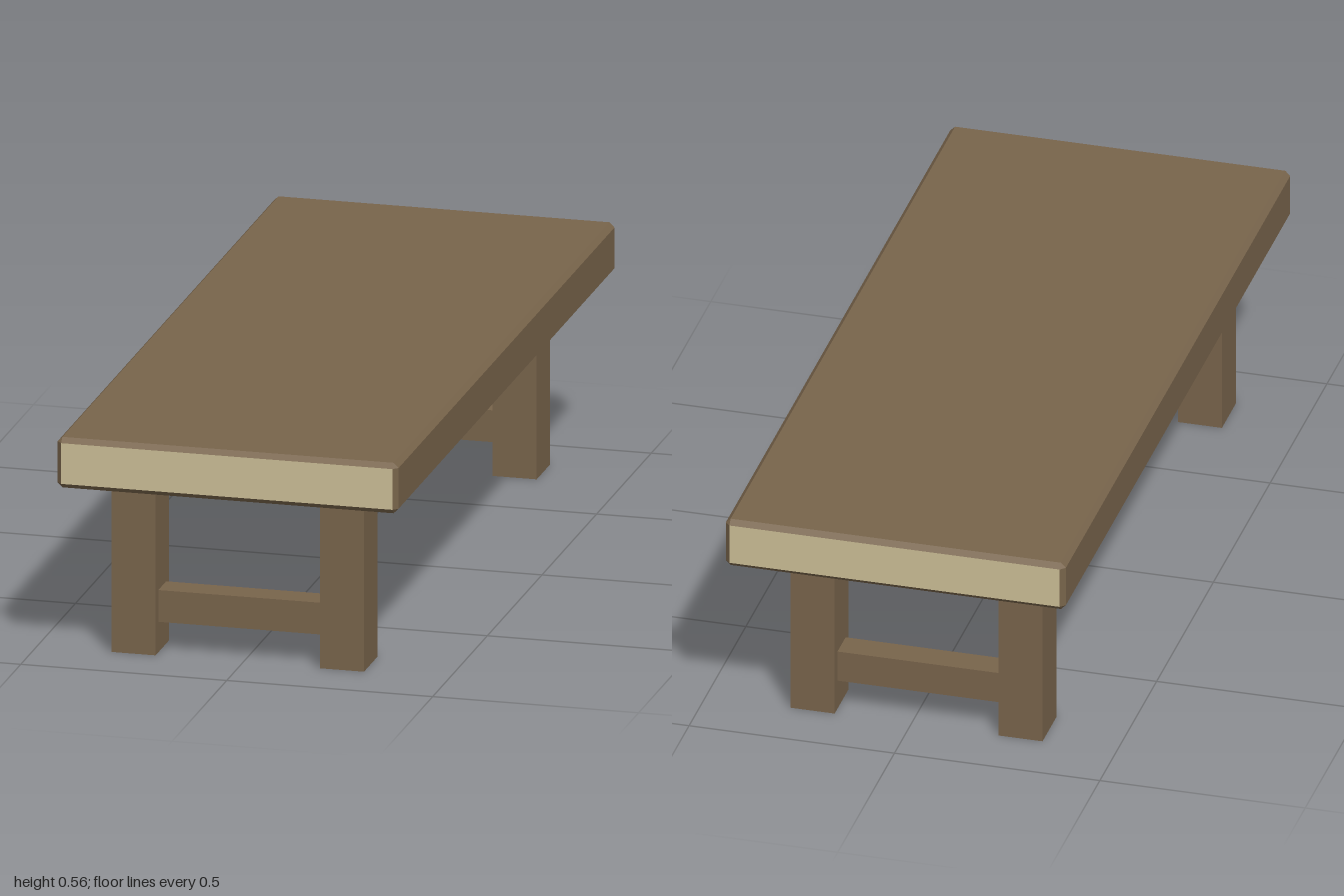
import * as THREE from 'three';
import { ConvexGeometry } from 'three/addons/geometries/ConvexGeometry.js';

const brown = new THREE.MeshStandardMaterial({ name: 'brown wood', color: 0x78644b });
const cream = new THREE.MeshStandardMaterial({ name: 'pale end grain', color: 0xcbbe96 });

// Box with every edge chamfered; its two z ends show pale end grain
function chamferedSlab(w, h, d, c) {
  const points = [];
  for (const sx of [-1, 1]) for (const sy of [-1, 1]) for (const sz of [-1, 1]) {
    for (let face = 0; face < 3; face++) {
      points.push(new THREE.Vector3(
        sx * (w / 2 - (face === 0 ? 0 : c)),
        sy * (h / 2 - (face === 1 ? 0 : c)),
        sz * (d / 2 - (face === 2 ? 0 : c))));
    }
  }
  const geometry = new ConvexGeometry(points);
  const normals = geometry.attributes.normal;
  for (let i = 0; i < normals.count; i += 3) {
    geometry.addGroup(i, 3, Math.abs(normals.getZ(i)) > 0.95 ? 1 : 0);
  }
  return geometry;
}

export function createModel() {
  const group = new THREE.Group();
  group.name = 'lowTable';

  function add(name, geometry, material, x, y, z) {
    const mesh = new THREE.Mesh(geometry, material);
    mesh.name = name;
    mesh.position.set(x, y, z);
    group.add(mesh);
  }

  // Thick table top
  add('tableTop', chamferedSlab(0.828, 0.124, 2, 0.012), [brown, cream], 0, 0.501, 0);

  // Square legs with pale undersides, and a rail joining each pair
  const leg = new THREE.BoxGeometry(0.107, 0.439, 0.122);
  const legMaterials = [brown, brown, brown, cream, brown, brown];
  const rail = new THREE.BoxGeometry(0.4, 0.078, 0.072);
  for (const [end, z] of [['front', 0.789], ['back', -0.791]]) {
    add(end + 'LeftLeg', leg, legMaterials, 0.24, 0.2195, z);
    add(end + 'RightLeg', leg, legMaterials, -0.266, 0.2195, z);
    add(end + 'Rail', rail, brown, -0.013, 0.114, z);
  }
  return group;
}
